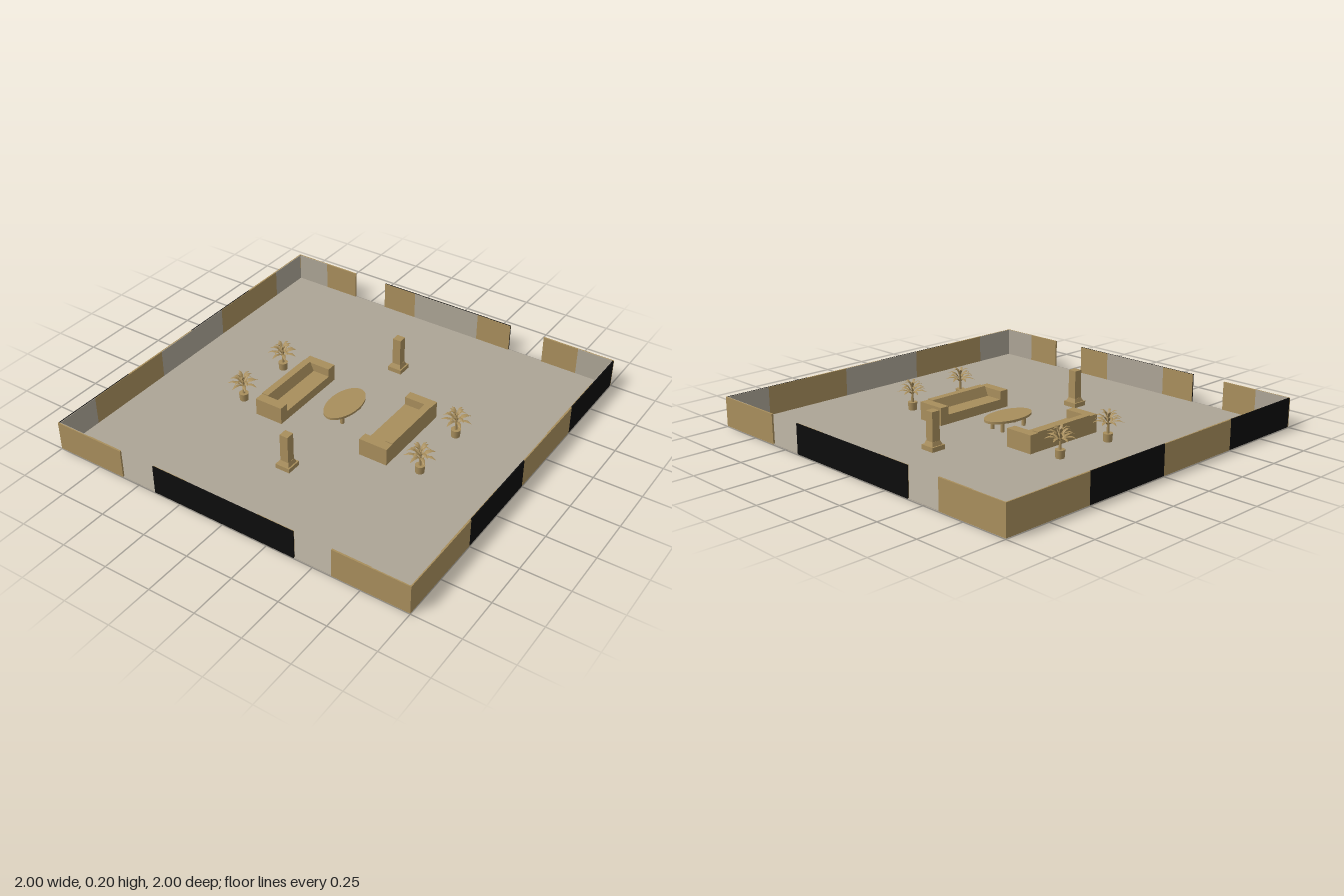
import * as THREE from 'three';

const tan = new THREE.MeshStandardMaterial({ color: 0xa88e5c, side: THREE.DoubleSide });
tan.name = 'tan';
const black = new THREE.MeshStandardMaterial({ color: 0x0c0c0c });
black.name = 'black';
const taupe = new THREE.MeshStandardMaterial({ color: 0xaca495 });
taupe.name = 'taupe';

const FLOOR = 0.006, WALL_TOP = 0.157, T = 0.006;

function add(parent, name, geometry, material, x = 0, y = 0, z = 0) {
  const mesh = new THREE.Mesh(geometry, material);
  mesh.name = name;
  mesh.position.set(x, y, z);
  parent.add(mesh);
  return mesh;
}

// Box given by its minimum and maximum on each axis
function block(parent, name, material, [x0, x1], [y0, y1], [z0, z1]) {
  const g = new THREE.BoxGeometry(x1 - x0, y1 - y0, z1 - z0);
  return add(parent, name, g, material, (x0 + x1) / 2, (y0 + y1) / 2, (z0 + z1) / 2);
}

function group(parent, name, x = 0, y = 0, z = 0) {
  const g = new THREE.Group();
  g.name = name;
  g.position.set(x, y, z);
  parent.add(g);
  return g;
}

// Low walls: coloured outer panels with thin inner facing panels
function buildWalls(root) {
  const walls = group(root, 'walls');
  const high = [0.003, WALL_TOP];
  const outerEnds = [[-1, -0.6, tan], [-0.4, 0.4, black], [0.6, 1, tan]];
  const innerEnds = [[-0.99, -0.8, taupe], [-0.8, -0.6, tan], [-0.4, -0.2, tan], [-0.2, 0.2, taupe],
    [0.2, 0.4, tan], [0.6, 0.8, tan], [0.8, 0.99, taupe]];
  const innerSides = [[-0.99, -0.75, taupe], [-0.75, -0.25, tan], [-0.25, 0.25, taupe],
    [0.25, 0.75, tan], [0.75, 0.99, taupe]];
  for (const s of [-1, 1]) {
    const outer = s > 0 ? [1 - T, 1] : [-1, T - 1];
    const inner = s > 0 ? [0.991, 1 - T] : [T - 1, -0.991];
    for (const [a, b, m] of outerEnds) block(walls, 'endWallPanel', m, [a, b], high, outer);
    for (const [a, b, m] of innerEnds) block(walls, 'endWallLining', m, [a, b], high, inner);
    for (let i = 0; i < 4; i++) {
      const a = Math.max(-1 + T, -1 + i * 0.5), b = Math.min(1 - T, -0.5 + i * 0.5);
      const m = (i % 2 === 0) === (s > 0) ? black : tan;
      block(walls, 'sideWallPanel', m, outer, high, [a, b]);
    }
    for (const [a, b, m] of innerSides) block(walls, 'sideWallLining', m, inner, high, [a, b]);
  }
}

// Sofa facing +x; its sloping backrest is an extruded profile
function buildSofa(root, name, x, z, turned) {
  const sofa = group(root, name, x, 0, z);
  if (turned) sofa.rotation.y = Math.PI;
  const body = new THREE.Shape([[-0.078, 0], [0.078, 0], [0.078, 0.055], [-0.018, 0.055], [-0.04, 0.105], [-0.078, 0.105]]
    .map(p => new THREE.Vector2(...p)));
  const g = new THREE.ExtrudeGeometry(body, { depth: 0.366, bevelEnabled: false });
  add(sofa, 'seatAndBackrest', g, tan, 0, 0, -0.183);
  for (const s of [-1, 1]) {
    const span = s > 0 ? [0.183, 0.235] : [-0.235, -0.183];
    block(sofa, 'armrest', tan, [-0.078, 0.078], [0, 0.1], span);
  }
}

// Oval coffee table
function buildTable(root) {
  const table = group(root, 'coffeeTable', -0.013, FLOOR, -0.01);
  const top = add(table, 'tableTop', new THREE.CylinderGeometry(1, 1, 0.012, 40), tan, 0, 0.058, 0);
  top.scale.set(0.083, 1, 0.147);
  for (const sx of [-1, 1]) for (const sz of [-1, 1]) {
    add(table, 'tableLeg', new THREE.CylinderGeometry(0.011, 0.011, 0.054, 12), tan, sx * 0.036, 0.027, sz * 0.075);
  }
}

// Square pedestal with a stepped, sloping foot
function buildPedestal(root, z) {
  const p = group(root, 'pedestal', 0, FLOOR, z);
  add(p, 'plinth', new THREE.BoxGeometry(0.08, 0.024, 0.08), tan, 0, 0.012, 0);
  const slope = new THREE.CylinderGeometry(0.048 / Math.SQRT2, 0.064 / Math.SQRT2, 0.02, 4).toNonIndexed();
  slope.rotateY(Math.PI / 4);
  slope.computeVertexNormals();
  add(p, 'slopingStep', slope, tan, 0, 0.034, 0);
  add(p, 'shaft', new THREE.BoxGeometry(0.046, 0.15, 0.046), tan, 0, 0.119, 0);
}

// Pointed leaf folded along its midrib; path holds [radius, height, half width]
function leafGeometry(path) {
  const pos = [], index = [];
  path.forEach(([r, y, w], i) => {
    pos.push(r, y - w * 0.4, -w, r, y, 0, r, y - w * 0.4, w);
    if (i === 0) return;
    const b = i * 3, a = b - 3;
    for (const k of [0, 1]) index.push(a + k, a + k + 1, b + k, a + k + 1, b + k + 1, b + k);
  });
  const g = new THREE.BufferGeometry();
  g.setAttribute('position', new THREE.Float32BufferAttribute(pos, 3));
  g.setIndex(index);
  g.computeVertexNormals();
  return g;
}

const leafTiers = [
  { count: 7, turn: 0.1, path: [[0.004, 0.085, 0.002], [0.03, 0.108, 0.009], [0.055, 0.112, 0.009], [0.08, 0.1, 0.0005]] },
  { count: 6, turn: 0.5, path: [[0.004, 0.1, 0.002], [0.025, 0.13, 0.008], [0.046, 0.137, 0.008], [0.068, 0.125, 0.0005]] },
  { count: 5, turn: 0.2, path: [[0.002, 0.115, 0.002], [0.013, 0.147, 0.007], [0.028, 0.158, 0.006], [0.045, 0.152, 0.0005]] },
];

// Potted palm
function buildPlant(root, x, z) {
  const plant = group(root, 'pottedPlant', x, FLOOR, z);
  add(plant, 'pot', new THREE.CylinderGeometry(0.025, 0.022, 0.042, 16), tan, 0, 0.021, 0);
  add(plant, 'stem', new THREE.CylinderGeometry(0.004, 0.008, 0.09, 8), tan, 0, 0.077, 0);
  for (const { count, turn, path } of leafTiers) {
    const g = leafGeometry(path);
    for (let i = 0; i < count; i++) {
      const leaf = add(plant, 'leaf', g, tan);
      leaf.rotation.y = turn + (i * Math.PI * 2) / count;
    }
  }
}

export function createModel() {
  const root = new THREE.Group();
  root.name = 'loungeRoom';
  block(root, 'floor', taupe, [-0.998, 0.998], [0.003, FLOOR], [-0.998, 0.998]);
  buildWalls(root);
  buildSofa(root, 'rightSofa', -0.302, 0.01, false);
  buildSofa(root, 'leftSofa', 0.312, -0.005, true);
  buildTable(root);
  for (const z of [-0.5, 0.5]) buildPedestal(root, z);
  for (const x of [-0.51, 0.548]) for (const z of [-0.16, 0.18]) buildPlant(root, x, z);
  return root;
}
